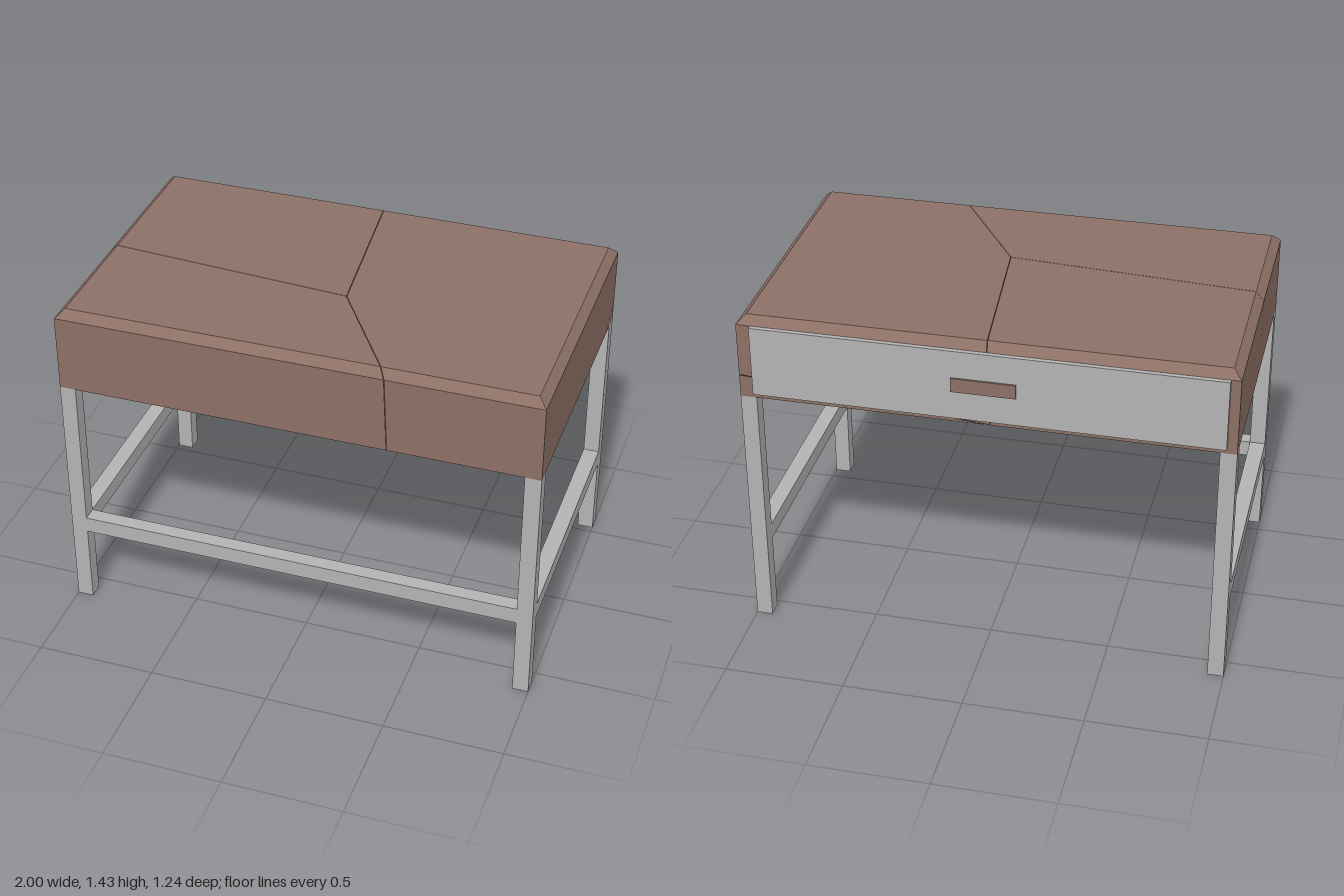
import * as THREE from 'three';
import { ConvexGeometry } from 'three/addons/geometries/ConvexGeometry.js';

const V = (x, y, z) => new THREE.Vector3(x, y, z);
const planeThrough = (a, b, c) => new THREE.Plane().setFromCoplanarPoints(a, b, c);

// Convex solid bounded by planes, each turned so that the seed lies inside
function convexCell(seed, planes, gap) {
  const sides = planes.map((p) => {
    const q = p.clone();
    if (q.distanceToPoint(seed) > 0) q.negate();
    if (gap.has(p)) q.constant += 0.001;
    return q;
  });
  const points = [];
  const n = sides.length;
  for (let i = 0; i < n; i++) for (let j = i + 1; j < n; j++) for (let k = j + 1; k < n; k++) {
    const [a, b, c] = [sides[i], sides[j], sides[k]];
    const bc = b.normal.clone().cross(c.normal);
    const det = a.normal.dot(bc);
    if (Math.abs(det) < 1e-6) continue;
    const p = bc.multiplyScalar(-a.constant)
      .addScaledVector(c.normal.clone().cross(a.normal), -b.constant)
      .addScaledVector(a.normal.clone().cross(b.normal), -c.constant)
      .divideScalar(det);
    const inside = sides.every((s) => s.distanceToPoint(p) < 1e-6);
    if (inside && !points.some((o) => o.distanceTo(p) < 1e-5)) points.push(p);
  }
  return new ConvexGeometry(points);
}

export function createModel() {
  const wood = new THREE.MeshStandardMaterial({ color: 0x8d7066 });
  wood.name = 'brown wood';
  const metal = new THREE.MeshStandardMaterial({ color: 0xb3b3b3 });
  metal.name = 'grey metal';

  const group = new THREE.Group();
  group.name = 'desk';
  const add = (name, geometry, material) => {
    const mesh = new THREE.Mesh(geometry, material);
    mesh.name = name;
    group.add(mesh);
  };
  const box = (name, x0, x1, y0, y1, z0, z1, material) => {
    const g = new THREE.BoxGeometry(x1 - x0, y1 - y0, z1 - z0);
    g.translate((x0 + x1) / 2, (y0 + y1) / 2, (z0 + z1) / 2);
    add(name, g, material);
  };

  // Box-shaped body with a bevelled top edge
  const bottom = 1.072, rim = 1.397, top = 1.431, front = 0.62, back = -0.595, inset = 0.035;
  const shell = [
    new THREE.Plane(V(0, -1, 0), bottom),
    new THREE.Plane(V(0, 1, 0), -top),
    new THREE.Plane(V(1, 0, 0), -1),
    new THREE.Plane(V(-1, 0, 0), -1),
    new THREE.Plane(V(0, 0, 1), -front),
    new THREE.Plane(V(0, 0, -1), back),
  ];
  for (const s of [-1, 1]) {
    shell.push(planeThrough(V(s, rim, 0), V(s, rim, 1), V(s * (1 - inset), top, 0)));
    const z = s > 0 ? front : back;
    shell.push(planeThrough(V(0, rim, z), V(1, rim, z), V(0, top, z - s * inset)));
  }

  // Cracks: three meet on a slanting line, one cuts off the lower back edge
  const hubTop = V(0.06, 1.43, 0.145), hubBottom = V(0.04, 1.07, 0.09);
  const crackBack = planeThrough(hubTop, hubBottom, V(-0.015, 1.4, -0.595));
  const crackRight = planeThrough(hubTop, hubBottom, V(-1, 1.4, 0.06));
  const crackFront = planeThrough(hubTop, hubBottom, V(0.367, 1.4, 0.62));
  const crackChip = planeThrough(V(1, 1.072, -0.47), V(1, 1.17, -0.595), V(-0.02, 1.072, -0.594));
  const cracks = new Set([crackBack, crackRight, crackFront, crackChip]);

  const pieces = [
    ['bodyBackRight', V(-0.5, 1.25, -0.2), [crackBack, crackRight]],
    ['bodyLeft', V(0.5, 1.25, -0.2), [crackBack, crackFront, crackChip]],
    ['bodyFrontRight', V(-0.3, 1.25, 0.4), [crackRight, crackFront]],
    ['bodyLowerBackChip', V(0.95, 1.08, -0.58), [crackBack, crackChip]],
  ];
  for (const [name, seed, cuts] of pieces) {
    add(name, convexCell(seed, [...shell, ...cuts], cracks), wood);
  }

  // Legs and side stretchers, mirrored left and right
  const w = 0.067, zf = front - 0.063, zb = back + 0.065;
  for (const [side, x0] of [['Right', -1], ['Left', 1 - w]]) {
    box('frontLeg' + side, x0, x0 + w, 0, bottom, zf, front, metal);
    box('backLeg' + side, x0, x0 + w, 0, bottom, back, zb, metal);
    box('sideStretcher' + side, x0, x0 + w, 0.35, 0.42, zb, zf, metal);
  }
  box('frontStretcher', -1 + w, 1 - w, 0.35, 0.42, zf, front, metal);

  // Drawer front and handle on the back
  box('drawerFront', -0.96, 0.94, 1.097, 1.397, -0.615, back, metal);
  box('drawerHandle', -0.135, 0.125, 1.22, 1.28, -0.623, -0.615, wood);

  return group;
}
